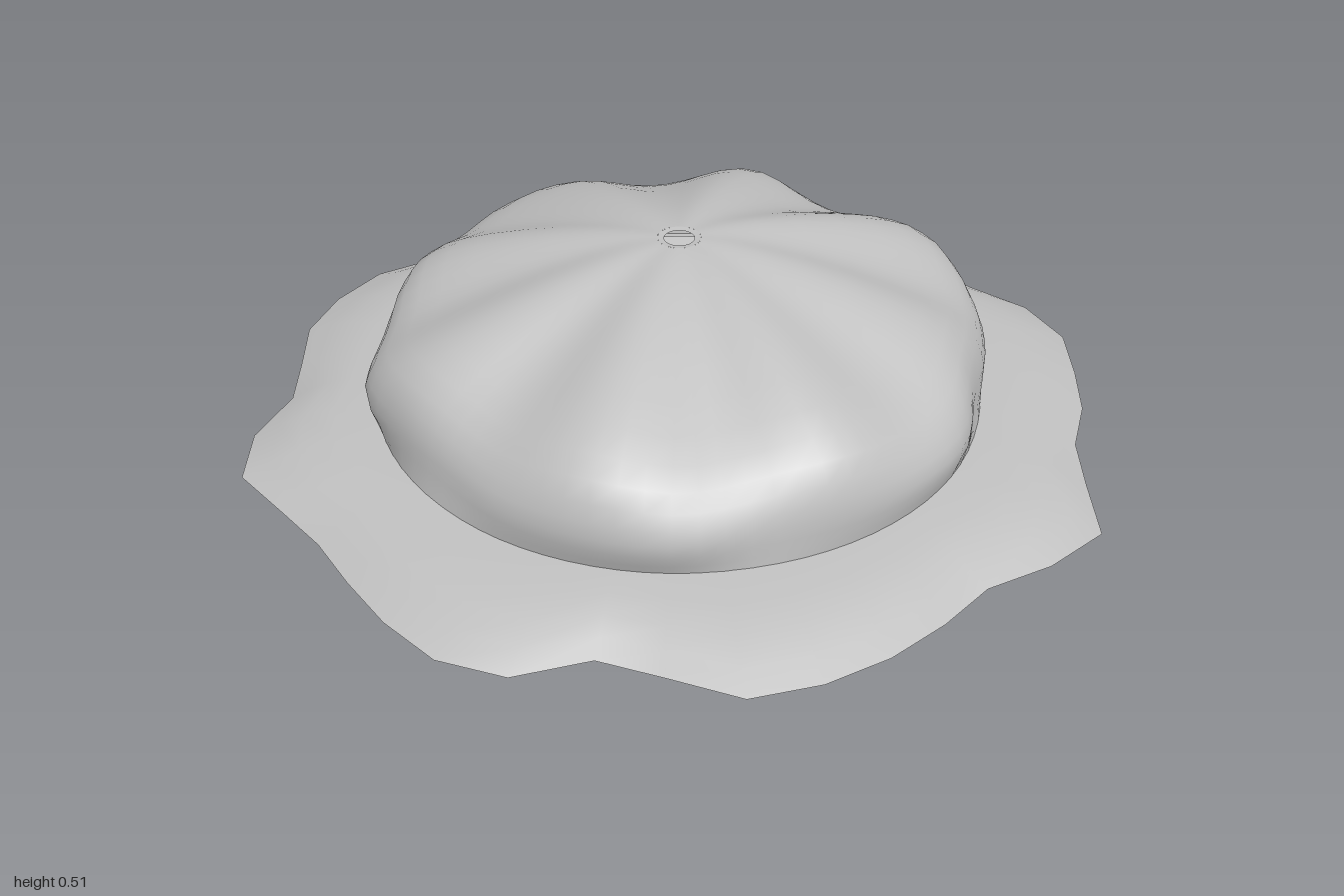
import * as THREE from 'three';
import { toCreasedNormals } from 'three/addons/utils/BufferGeometryUtils.js';

const TAU = Math.PI * 2;

// Radii read round the circle from +x towards +z
const brimEdge = [
  0.975, 0.945, 0.98, 1.05, 1.0, 0.94, 0.96, 0.985, 1.005, 1.012,
  0.945, 0.91, 1.0, 1.015, 0.985, 0.955, 0.94, 0.97, 1.03, 1.0,
  0.93, 0.95, 1.0, 1.015, 1.01, 0.96, 0.93, 1.0, 1.05, 1.0,
  0.96, 0.97, 0.99, 1.03, 1.02, 0.95, 0.955, 1.015, 1.03, 0.995,
];
const crownEdge = [
  0.725, 0.7, 0.735, 0.73, 0.72, 0.71, 0.74, 0.735, 0.72, 0.695, 0.71, 0.74,
  0.71, 0.71, 0.725, 0.755, 0.715, 0.72, 0.725, 0.75, 0.72, 0.725, 0.75, 0.75,
];

// Smooth periodic lookup in a radius table
function sample(table, angle) {
  const n = table.length;
  const t = (angle / TAU) * n;
  const i = Math.floor(t);
  const f = t - i;
  const p = (k) => table[(i + k + n) % n];
  const a = p(-1), b = p(0), c = p(1), d = p(2);
  return b + 0.5 * f * (c - a + f * (2 * a - 5 * b + 4 * c - d + f * (3 * (b - c) + d - a)));
}

// Closed loops joined from the outside in; point(row, angle) gives [radius, y]
function loft(rows, segments, point) {
  const pos = [];
  const index = [];
  for (let r = 0; r < rows; r++) {
    for (let s = 0; s < segments; s++) {
      const a = (s / segments) * TAU;
      const [radius, y] = point(r, a);
      pos.push(Math.cos(a) * radius, y, Math.sin(a) * radius);
      if (r === rows - 1) continue;
      const n = (s + 1) % segments;
      const i = r * segments + s, j = r * segments + n;
      index.push(i, i + segments, j, j, i + segments, j + segments);
    }
  }
  const g = new THREE.BufferGeometry();
  g.setAttribute('position', new THREE.Float32BufferAttribute(pos, 3));
  g.setIndex(index);
  g.computeVertexNormals();
  return g;
}

export function createModel() {
  const group = new THREE.Group();
  const grey = new THREE.MeshStandardMaterial({ color: 0xc0c0c0, side: THREE.DoubleSide });
  grey.name = 'grey';
  const add = (name, geometry, x = 0, z = 0) => {
    const mesh = new THREE.Mesh(geometry, grey);
    mesh.name = name;
    mesh.position.set(x, 0, z);
    group.add(mesh);
  };
  // The round parts sit slightly off the middle of the uneven brim
  const cx = 0.006, cz = -0.006;

  // Puffed crown: [share of edge radius, height, depth of folds, blend to a round base]
  const profile = [
    [1, 0.122, 0, 1], [1, 0.15, 0, 0.6], [1, 0.18, 0, 0.2], [1, 0.215, 0.1, 0],
    [0.992, 0.25, 0.3, 0], [0.975, 0.29, 0.55, 0], [0.94, 0.33, 0.8, 0], [0.88, 0.364, 0.95, 0],
    [0.8, 0.393, 1, 0], [0.7, 0.421, 0.95, 0], [0.56, 0.453, 0.75, 0], [0.42, 0.479, 0.5, 0],
    [0.28, 0.499, 0.25, 0], [0.16, 0.511, 0.05, 0],
  ];
  add('crown', loft(profile.length + 1, 80, (row, a) => {
    if (row === profile.length) return [0.05, 0.515];
    const [share, y, depth, round] = profile[row];
    const fold = depth * (0.5 - 0.5 * Math.cos(8 * (a - Math.PI / 12)));
    const radius = THREE.MathUtils.lerp(sample(crownEdge, a), 0.713, round);
    return [radius * share * (1 - 0.035 * fold), y - 0.038 * fold];
  }), cx, cz);

  // Small eyelet round the hole at the top
  const eyelet = [[0.05, 0.515], [0.035, 0.513]];
  add('eyelet', new THREE.LatheGeometry(eyelet.map((p) => new THREE.Vector2(...p)), 32), cx, cz);

  // Thin wavy brim curving down to its edge
  const brim = [[1, 0.06], [0.8, 0.086], [0.6, 0.107], [0.35, 0.122], [0, 0.127]];
  add('brim', loft(brim.length, 40, (row, a) => {
    const [t, y] = brim[row];
    return [0.7 + (sample(brimEdge, a) - 0.7) * t, y];
  }));

  // Base band with the sloping recessed underside and inner collar
  const base = [
    [0.725, 0.12], [0.717, 0], [0.717, 0.12], [0.47, 0.06], [0.47, 0], [0.42, 0], [0.42, 0.06],
  ];
  const lathe = new THREE.LatheGeometry(base.map((p) => new THREE.Vector2(...p)), 64);
  add('baseBand', toCreasedNormals(lathe, 0.6), cx, cz);

  return group;
}
